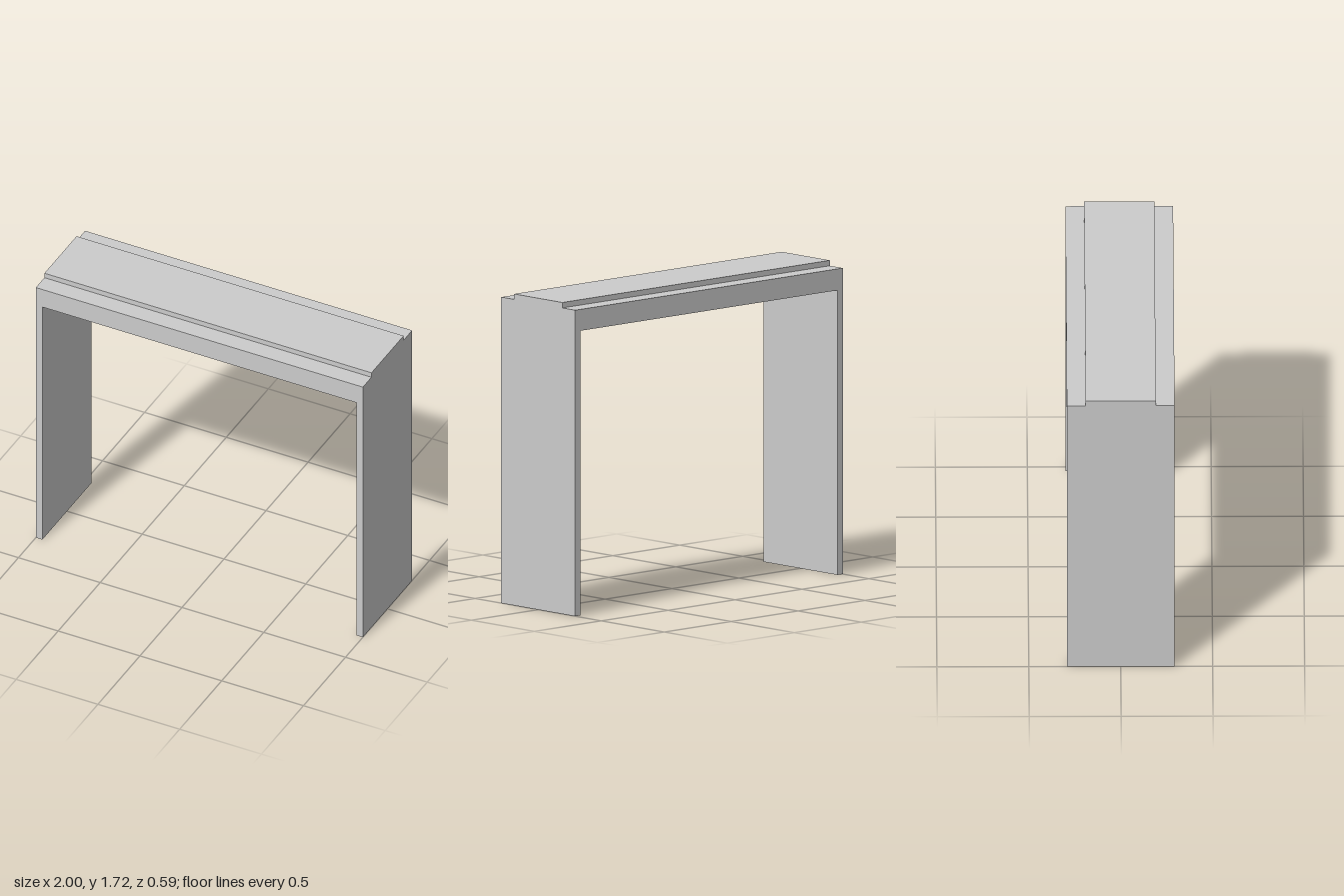
import * as THREE from 'three';

const HALF_WIDTH = 1, INNER = 0.96, UNDERSIDE = 1.57, SHOULDER = 1.688, TOP = 1.718;
const DEPTH = 0.586, RAISED_DEPTH = 0.382;

export function createModel() {
  const model = new THREE.Group();
  model.name = 'portalFrame';
  const material = new THREE.MeshStandardMaterial({ color: 0xcccccc, flatShading: true });

  // Two thin side walls and the lintel, as one upside-down U
  const outline = new THREE.Shape([
    [-HALF_WIDTH, 0], [-INNER, 0], [-INNER, UNDERSIDE], [INNER, UNDERSIDE],
    [INNER, 0], [HALF_WIDTH, 0], [HALF_WIDTH, SHOULDER], [-HALF_WIDTH, SHOULDER],
  ].map(([x, y]) => new THREE.Vector2(x, y)));
  const frameGeometry = new THREE.ExtrudeGeometry(outline, { depth: DEPTH, bevelEnabled: false });
  frameGeometry.translate(0, 0, -DEPTH / 2);
  const frame = new THREE.Mesh(frameGeometry, material);
  frame.name = 'wallsAndLintel';
  model.add(frame);

  // Raised strip along the top, leaving a step at front and back
  const height = TOP - SHOULDER;
  const strip = new THREE.Mesh(new THREE.BoxGeometry(2 * HALF_WIDTH, height, RAISED_DEPTH), material);
  strip.position.y = SHOULDER + height / 2;
  strip.name = 'raisedTop';
  model.add(strip);

  return model;
}
